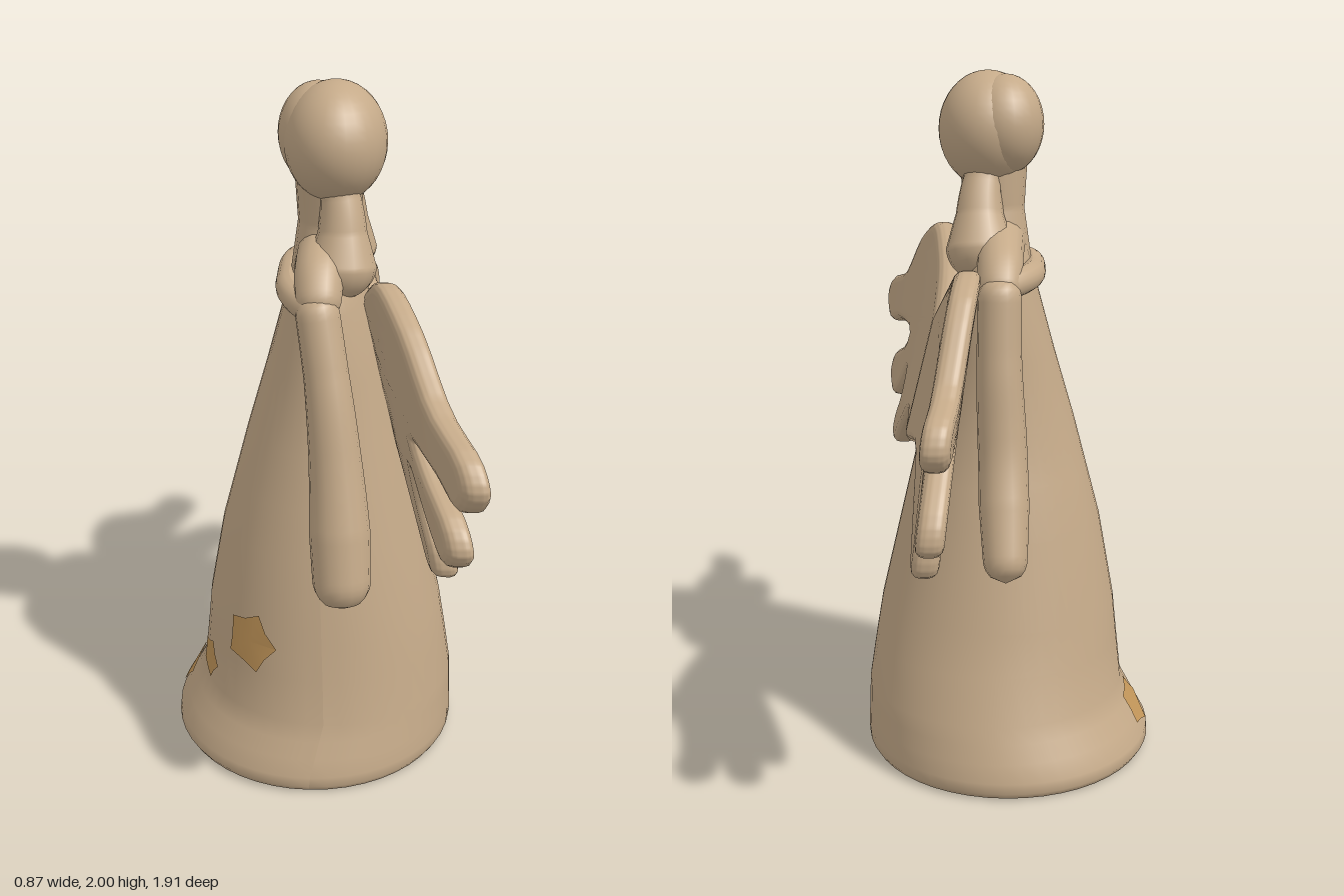
import * as THREE from 'three';
import { mergeVertices } from 'three/addons/utils/BufferGeometryUtils.js';

const clay = new THREE.MeshStandardMaterial({ color: 0xc5aa89 });
clay.name = 'clay';
const ochre = new THREE.MeshStandardMaterial({ color: 0xc4975a });
ochre.name = 'ochre';

// Gown sections: height, centre x, half width x, centre z, half width z
const sections = [
  [0, -0.01, 0.425, 0, 0.46], [0.04, -0.01, 0.43, 0, 0.465], [0.1, 0.005, 0.412, 0, 0.445], [0.2, 0.03, 0.383, 0, 0.412],
  [0.33, 0.027, 0.366, 0.01, 0.382], [0.45, 0.023, 0.35, 0.02, 0.36], [0.7, 0.016, 0.298, 0.03, 0.32],
  [1, 0.02, 0.223, 0.04, 0.265], [1.2, 0.025, 0.17, 0.03, 0.25], [1.4, 0.027, 0.118, 0.02, 0.25],
  [1.5, 0.02, 0.085, 0.02, 0.2], [1.57, 0.02, 0.05, 0.03, 0.1],
];

function sectionAt(y) {
  let i = 0;
  while (i < sections.length - 2 && y > sections[i + 1][0]) i++;
  const a = sections[i], b = sections[i + 1];
  const t = THREE.MathUtils.clamp((y - a[0]) / (b[0] - a[0]), 0, 1);
  return a.map((v, k) => v + (b[k] - v) * t);
}

// Moves a point of a unit-radius column on to the gown
function fitToGown(x, y, z) {
  const [, cx, hx, cz, hz] = sectionAt(y);
  return [cx + x * hx, y, cz + z * hz];
}

function reshape(geometry, rule) {
  const p = geometry.attributes.position;
  for (let i = 0; i < p.count; i++) p.setXYZ(i, ...rule(p.getX(i), p.getY(i), p.getZ(i)));
  geometry.computeVertexNormals();
  return geometry;
}

function add(group, name, geometry, material = clay) {
  const mesh = new THREE.Mesh(geometry, material);
  mesh.name = name;
  group.add(mesh);
  return mesh;
}

// Limb with round ends whose radius varies along a curved path
function limb(points, radii) {
  const path = new THREE.CatmullRomCurve3(points.map((p) => new THREE.Vector3(...p)));
  const rows = 48, sides = 16, length = path.getLength();
  const geometry = new THREE.TubeGeometry(path, rows, 1, sides);
  const p = geometry.attributes.position, v = new THREE.Vector3();
  for (let i = 0; i <= rows; i++) {
    const t = i / rows, centre = path.getPointAt(t), f = t * (radii.length - 1);
    const k = Math.min(Math.floor(f), radii.length - 2);
    let r = THREE.MathUtils.lerp(radii[k], radii[k + 1], f - k);
    const end = Math.min(1, Math.min(t, 1 - t) * length / r);
    r *= Math.sqrt(1 - (1 - end) ** 2);
    for (let j = 0; j <= sides; j++) {
      const n = i * (sides + 1) + j;
      v.fromBufferAttribute(p, n).sub(centre).multiplyScalar(r).add(centre);
      p.setXYZ(n, v.x, v.y, v.z);
    }
  }
  geometry.computeVertexNormals();
  return geometry;
}

// Splits every triangle into four so that a flat plate can bend smoothly
function subdivide(geometry) {
  const p = geometry.attributes.position, out = [];
  const [a, b, c, ab, bc, ca] = Array.from({ length: 6 }, () => new THREE.Vector3());
  for (let i = 0; i < p.count; i += 3) {
    [a, b, c].forEach((v, k) => v.fromBufferAttribute(p, i + k));
    ab.lerpVectors(a, b, 0.5);
    bc.lerpVectors(b, c, 0.5);
    ca.lerpVectors(c, a, 0.5);
    [a, ab, ca, ab, b, bc, ca, bc, c, ab, bc, ca].forEach((v) => out.push(v.x, v.y, v.z));
  }
  return new THREE.BufferGeometry().setAttribute('position', new THREE.Float32BufferAttribute(out, 3));
}

// Feathered plate drawn from behind, then bent along its span
function wing(outline) {
  const curve = new THREE.CatmullRomCurve3(
    outline.map(([s, t]) => new THREE.Vector3(s, t, 0)), false, 'centripetal');
  const shape = new THREE.Shape(curve.getPoints(80).map((p) => new THREE.Vector2(p.x, p.y)));
  const plate = new THREE.ExtrudeGeometry(shape, {
    depth: 0.022, bevelThickness: 0.026, bevelSize: 0.028, bevelOffset: -0.028, bevelSegments: 3,
  });
  return reshape(mergeVertices(subdivide(subdivide(plate)), 1e-5), (s, y, w) => {
    const z = -s;
    const sweep = z > 0 ? 0.1 * z + 0.12 * z * z : 0.2 * z + 0.15 * z * z;
    const lean = 0.25 * (1 - 0.7 * Math.abs(z)) * (1.2 - y);
    return [0.187 + sweep + lean + w, y, z];
  });
}

// Painted star lying on the gown
function star(angle, height, size) {
  const geometry = new THREE.CircleGeometry(1, 10);
  const p = geometry.attributes.position;
  for (let i = 1; i < p.count; i++) {
    const r = i % 2 ? 1 : 0.74;
    p.setXY(i, p.getX(i) * r, p.getY(i) * r);
  }
  return reshape(geometry, (u, v) => {
    const a = angle + u * size / 0.36;
    return fitToGown(Math.sin(a) * 1.015, height + v * size, Math.cos(a) * 1.015);
  });
}

export function createModel() {
  const model = new THREE.Group();
  model.name = 'angelFigure';

  // Hollow gown: inner wall down, rim, outer wall up
  const profile = [[0, 1.2], [0.7, 1.15], [0.82, 0.7], [0.83, 0.3], [0.83, 0.08], [0.87, 0.015], [0.93, 0],
    [0.98, 0.003], [1, 0.02], [1, 0.05], [1, 0.1], [1, 0.15], [1, 0.2], [1, 0.33], [1, 0.45], [1, 0.7], [1, 0.85],
    [1, 1], [1, 1.2], [1, 1.4], [1, 1.5], [1, 1.57], [0, 1.59]];
  const gown = new THREE.LatheGeometry(profile.map((p) => new THREE.Vector2(...p)), 48);
  add(model, 'gown', reshape(gown, fitToGown));

  // Stars on the front hem
  [[-0.64, 0.42, 0.095], [-1.2, 0.27, 0.065], [-1.72, 0.13, 0.07]].forEach((s) =>
    add(model, 'star', star(...s), ochre));

  // Collar, shoulders and arms
  add(model, 'collar', limb(
    [[0.03, 1.42, -0.28], [-0.06, 1.44, -0.17], [-0.08, 1.44, 0.03], [-0.06, 1.44, 0.2], [0.02, 1.42, 0.31]],
    [0.04, 0.038, 0.036, 0.038, 0.045]));
  add(model, 'shoulders', limb(
    [[0.01, 1.38, -0.27], [0.01, 1.47, -0.18], [0.02, 1.52, 0.04], [0.01, 1.5, 0.2], [0.01, 1.4, 0.3]],
    [0.06, 0.065, 0.08, 0.07, 0.06]));
  add(model, 'leftArm', limb(
    [[0, 1.47, 0.27], [0.04, 1.2, 0.33], [0.065, 0.95, 0.37], [0.085, 0.605, 0.44]],
    [0.06, 0.062, 0.072, 0.085, 0.08]));
  add(model, 'rightArm', limb(
    [[0.01, 1.46, -0.25], [0.01, 1.2, -0.28], [0, 0.95, -0.31], [-0.01, 0.64, -0.43]],
    [0.06, 0.062, 0.068, 0.07, 0.058]));

  // Neck, head and face
  add(model, 'neck', limb([[0.02, 1.36, 0.03], [0.03, 1.6, 0.04], [0.04, 1.86, 0.06]], [0.11, 0.085, 0.11]));
  const head = add(model, 'head', new THREE.SphereGeometry(1, 28, 20));
  head.position.set(0.05, 1.835, 0.06);
  head.scale.set(0.142, 0.165, 0.175);
  const face = add(model, 'face', new THREE.SphereGeometry(1, 24, 18));
  face.position.set(0, 1.85, 0.02);
  face.scale.set(0.11, 0.14, 0.135);

  // Hair bunches at the back of the neck
  [[0.1, 0.16], [0.02, -0.09]].forEach(([top, end]) => add(model, 'hairBunch', limb(
    [[0.05, 1.78, top], [0.07, 1.64, (top + end) / 2], [0.065, 1.42, end]],
    [0.055, 0.056, 0.068, 0.098, 0.1])));

  // Wings
  add(model, 'leftWing', wing([[0.02, 1.31], [-0.12, 1.42], [-0.24, 1.48], [-0.38, 1.53], [-0.55, 1.47],
    [-0.72, 1.33], [-0.92, 1.27], [-0.96, 1.2], [-0.9, 1.13], [-0.75, 1.155], [-0.53, 1.15],
    [-0.6, 1.1], [-0.78, 1.03], [-0.81, 0.96], [-0.73, 0.9], [-0.6, 0.95], [-0.47, 1.04],
    [-0.5, 0.96], [-0.59, 0.87], [-0.6, 0.8], [-0.53, 0.78], [-0.4, 0.86], [-0.18, 0.97], [0.02, 0.93]]));
  add(model, 'rightWing', wing([[-0.02, 1.31], [0.08, 1.38], [0.25, 1.46], [0.45, 1.5], [0.6, 1.46],
    [0.78, 1.26], [0.92, 1.21], [0.95, 1.14], [0.9, 1.09], [0.75, 1.12], [0.575, 1.165],
    [0.68, 1.06], [0.81, 0.93], [0.82, 0.86], [0.76, 0.835], [0.64, 0.9], [0.48, 0.98],
    [0.56, 0.89], [0.635, 0.8], [0.63, 0.73], [0.56, 0.72], [0.4, 0.81], [0.18, 0.95], [-0.02, 0.93]]));

  return model;
}
